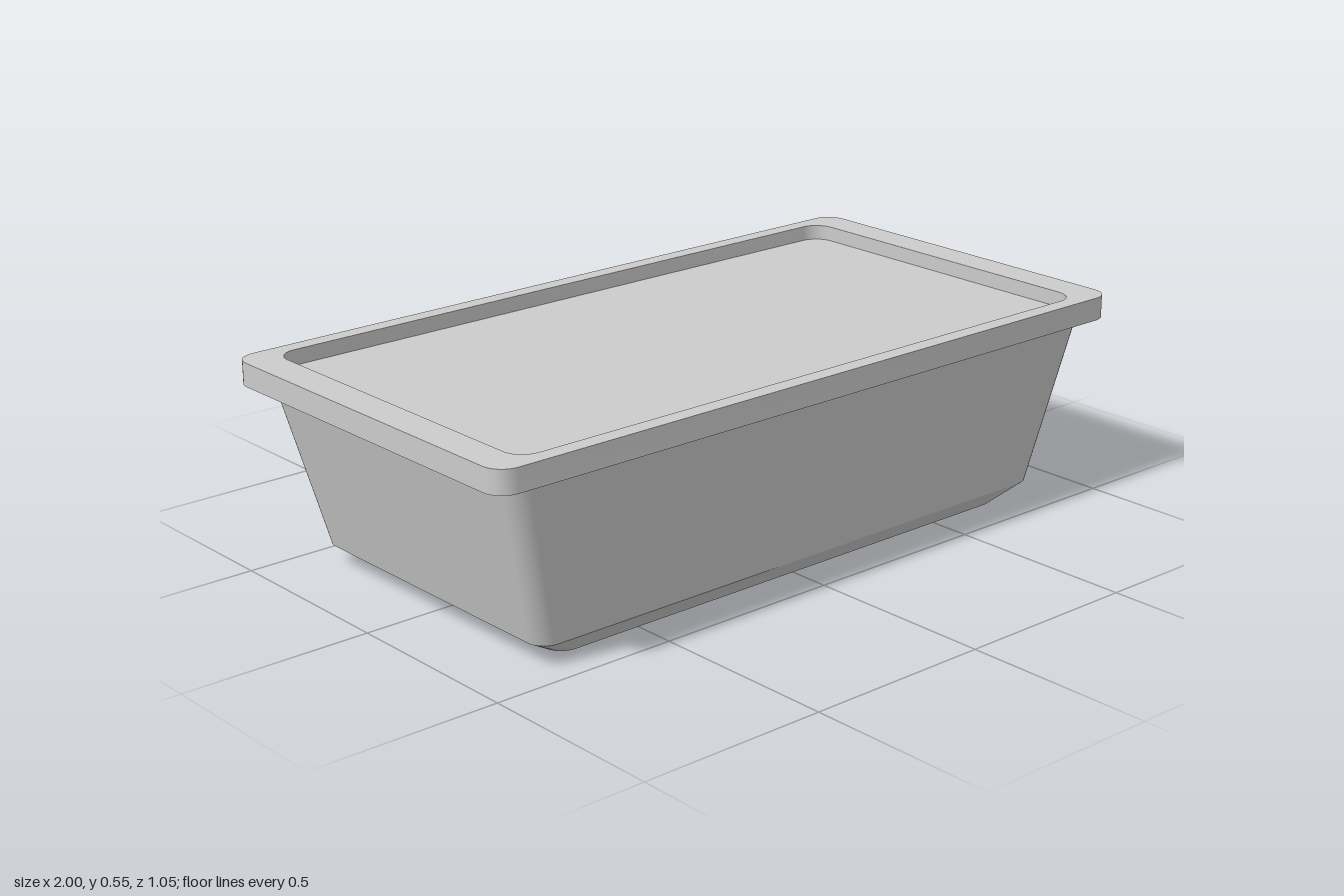
import * as THREE from 'three';
import { toCreasedNormals } from 'three/addons/utils/BufferGeometryUtils.js';

const ARC = 8; // segments per rounded corner

// Rounded rectangle outline, counter-clockwise, from half sizes and corner radius
function outline(hx, hz, r) {
  const points = [];
  const corners = [[1, 1], [-1, 1], [-1, -1], [1, -1]];
  corners.forEach(([sx, sz], c) => {
    for (let i = 0; i <= ARC; i++) {
      const a = (c + i / ARC) * Math.PI / 2;
      points.push(new THREE.Vector2(sx * (hx - r) + r * Math.cos(a), sz * (hz - r) + r * Math.sin(a)));
    }
  });
  return points;
}

// Skin stacked outlines [y, hx, hz, r] from bottom to top, closing the bottom
function loft(sections) {
  const positions = [], index = [];
  const n = 4 * (ARC + 1);
  for (const [y, hx, hz, r] of sections) {
    for (const p of outline(hx, hz, r)) positions.push(p.x, y, -p.y);
  }
  for (let s = 0; s < sections.length - 1; s++) {
    for (let i = 0; i < n; i++) {
      const a = s * n + i, b = s * n + (i + 1) % n;
      index.push(a, b, b + n, a, b + n, a + n);
    }
  }
  for (let i = 1; i < n - 1; i++) index.push(0, i + 1, i);
  const geometry = new THREE.BufferGeometry();
  geometry.setAttribute('position', new THREE.Float32BufferAttribute(positions, 3));
  geometry.setIndex(index);
  return toCreasedNormals(geometry, 0.4);
}

export function createModel() {
  const group = new THREE.Group();
  const material = new THREE.MeshStandardMaterial({ color: 0xcccccc, side: THREE.DoubleSide });
  const add = (name, geometry) => {
    const mesh = new THREE.Mesh(geometry, material);
    mesh.name = name;
    group.add(mesh);
  };

  // Tapered tub with a chamfered foot
  add('tub', loft([
    [0, 0.74, 0.39, 0.05],
    [0.053, 0.825, 0.435, 0.05],
    [0.487, 0.935, 0.49, 0.05],
  ]));

  // Overhanging rim with a rounded rectangular opening
  const rimShape = new THREE.Shape(outline(1, 0.524, 0.055));
  rimShape.holes.push(new THREE.Path(outline(0.91, 0.48, 0.055)));
  const rim = new THREE.ExtrudeGeometry(rimShape, { depth: 0.061, bevelEnabled: false });
  rim.rotateX(-Math.PI / 2).translate(0, 0.487, 0);
  add('rim', toCreasedNormals(rim, 0.6));

  // Recessed panel closing the opening
  const panel = new THREE.ShapeGeometry(new THREE.Shape(outline(0.91, 0.48, 0.055)));
  panel.rotateX(-Math.PI / 2).translate(0, 0.508, 0);
  add('recessedPanel', panel);

  return group;
}
